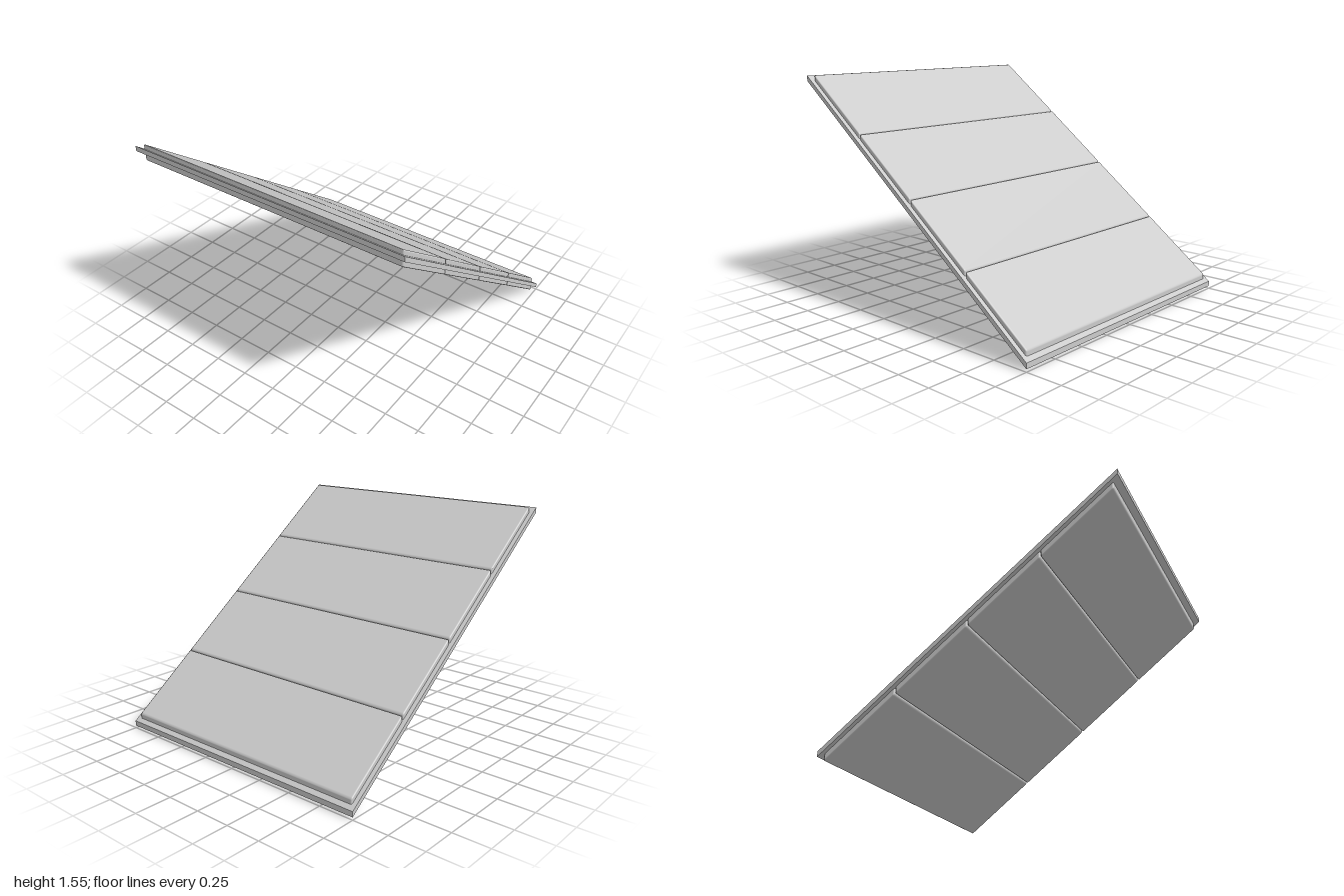
import * as THREE from 'three';
import { RoundedBoxGeometry } from 'three/addons/geometries/RoundedBoxGeometry.js';

const SLOPE = 0.748; // rise per unit of z; the ends stay vertical

// Shear y by z, then lift to the given centre height
function slopeAt(y) {
  return new THREE.Matrix4().set(
    1, 0, 0, 0,
    0, 1, SLOPE, y,
    0, 0, 1, 0,
    0, 0, 0, 1
  );
}

export function createModel() {
  const model = new THREE.Group();
  model.name = 'slopedPanel';
  const material = new THREE.MeshStandardMaterial({ color: 0xcccccc });

  const add = (name, geometry, y) => {
    geometry.applyMatrix4(slopeAt(y));
    const mesh = new THREE.Mesh(geometry, material);
    mesh.name = name;
    model.add(mesh);
  };

  // Thin core sheet whose rim sticks out all around
  add('coreSheet', new THREE.BoxGeometry(2, 0.036, 2), 0.794);

  // Four soft-edged planks showing above and below the core, with narrow grooves
  const count = 4, front = 0.965, pitch = 0.485, gap = 0.006;
  for (let i = 0; i < count; i++) {
    const plank = new RoundedBoxGeometry(1.94, 0.116, pitch - gap, 2, 0.01);
    plank.translate(0, 0, front - pitch * (i + 0.5));
    add('plank' + (i + 1), plank, 0.79);
  }

  return model;
}
